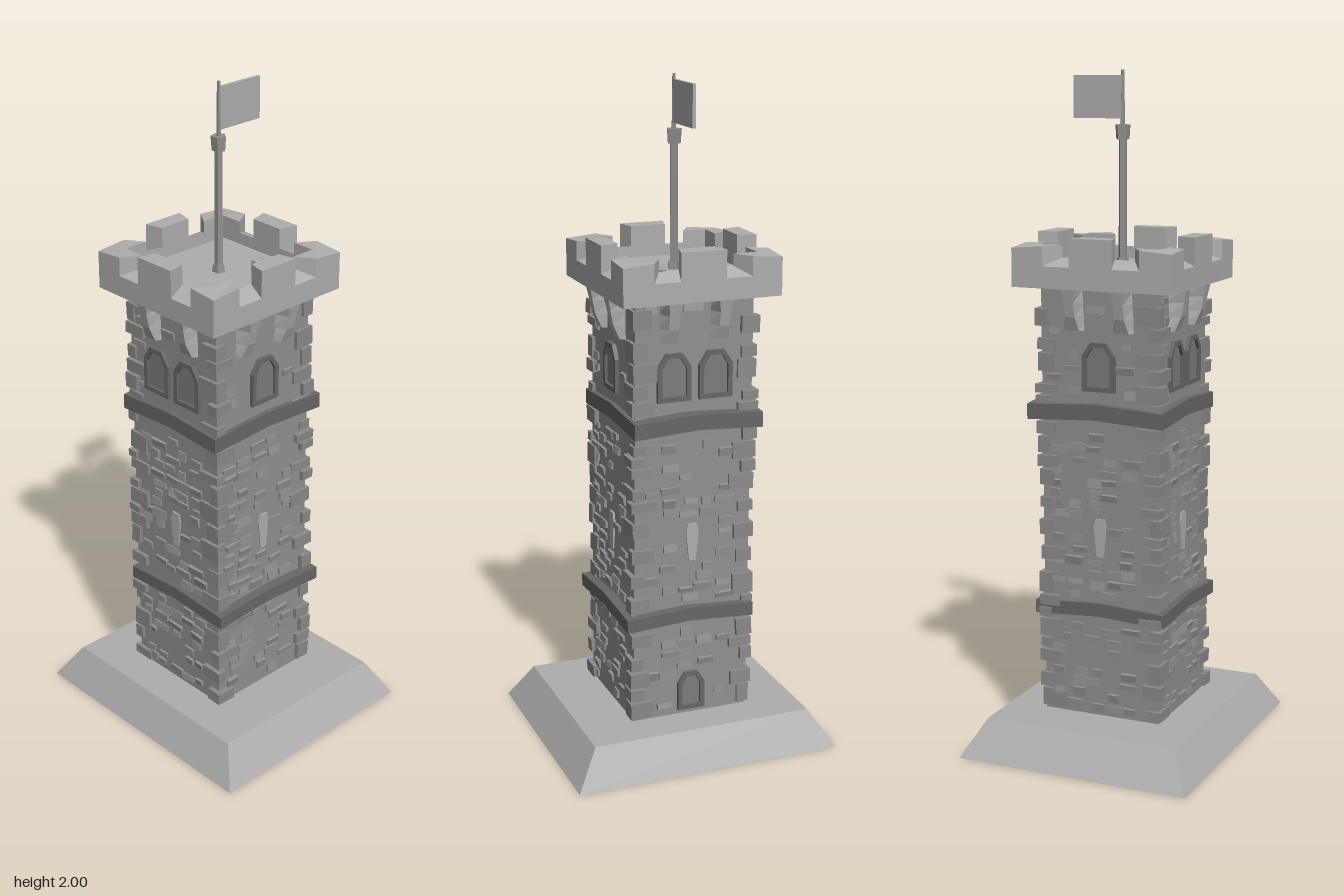
import * as THREE from 'three';
import { mergeGeometries } from 'three/addons/utils/BufferGeometryUtils.js';

const HX = 0.183, HZ = 0.181; // half width and half depth of the shaft
const shift = y => -0.002 - 0.013 * Math.min(1, y / 1.4); // slight backward lean
const grey = (color, side = THREE.FrontSide) => new THREE.MeshStandardMaterial({ color, flatShading: true, side });
const pale = grey(0xaeaeae), wall = grey(0x909090), quoin = grey(0x8a8a8a), dark = grey(0x676767);
const pane = grey(0x7c7c7c), cloth = grey(0xaeaeae, THREE.DoubleSide);

let seed = 11;
const rnd = (a, b) => {
  seed = (seed * 16807) % 2147483647;
  return a + (b - a) * seed / 2147483647;
};

function add(parent, name, geo, mat, x = 0, y = 0, z = 0) {
  const m = new THREE.Mesh(geo, mat);
  m.name = name;
  m.position.set(x, y, z);
  parent.add(m);
}

const box = (w, h, d, x = 0, y = 0, z = 0) => new THREE.BoxGeometry(w, h, d).translate(x, y, z);

// move every vertex by a rule
function warp(geo, rule) {
  const p = geo.attributes.position, v = new THREE.Vector3();
  for (let i = 0; i < p.count; i++) {
    rule(v.fromBufferAttribute(p, i));
    p.setXYZ(i, v.x, v.y, v.z);
  }
  geo.computeVertexNormals();
  return geo;
}

const poly = pts => new THREE.Shape(pts.map(p => new THREE.Vector2(...p)));
const extrude = (shape, depth) => new THREE.ExtrudeGeometry(shape, { depth, bevelEnabled: false });
// plan outline (x, -z) raised from y0 to y1
const raise = (shape, y0, y1) => extrude(shape, y1 - y0).rotateX(-Math.PI / 2).translate(0, y0, 0);

const archPts = (w, h, inset = 0) => {
  const a = w / 2 - inset, b = w * 0.24 - inset * 0.4;
  return [[-a, inset], [a, inset], [a, h * 0.72 - inset * 0.4], [b, h - inset], [-b, h - inset], [-a, h * 0.72 - inset * 0.4]];
};

// arched opening: raised surround and shallow inner panel
function archway(name, w, h) {
  const g = new THREE.Group();
  g.name = name;
  const frame = poly(archPts(w, h));
  frame.holes.push(poly(archPts(w, h, 0.014)));
  add(g, 'surround', extrude(frame, 0.018), dark, 0, 0, -0.006);
  add(g, 'panel', extrude(poly(archPts(w, h, 0.013)), 0.008), pane, 0, 0, -0.005);
  return g;
}

// corbel: narrow waisted front, splayed cheeks, leaning out to carry the parapet
function corbelGeometry() {
  return warp(new THREE.BoxGeometry(2, 0.125, 1, 1, 3, 1), v => {
    const t = v.y / 0.125 + 0.5;
    v.x *= v.z > 0 ? 0.014 + 0.03 * (t - 0.5) ** 2 : 0.038 - 0.01 * t;
    v.z = v.z > 0 ? (t < 0.1 ? 0.016 : 0.024 + 0.026 * t) : -0.012;
  });
}

function wallFace(i) {
  const side = i % 2 === 1, half = side ? HZ : HX;
  const face = new THREE.Group();
  face.name = ['frontWall', 'rightWall', 'backWall', 'leftWall'][i];
  face.rotation.y = i * Math.PI / 2;
  // position on the leaning wall surface, in the face's own axes
  const c = Math.round(Math.cos(face.rotation.y)), s = Math.round(Math.sin(face.rotation.y));
  const place = (x, y, out = 0) => [x - s * shift(y), y, (side ? HX : HZ) + c * shift(y) + out];

  // openings as [x, y, width, height]
  const holes = [];
  const open = (name, x, y, w, h) => {
    const arch = archway(name, w, h);
    arch.position.set(...place(x, y));
    face.add(arch);
    holes.push([x, y + h / 2, w, h]);
  };
  (side ? [-0.064, 0.064] : [0]).forEach(x => open('archedWindow', x, 1.093, 0.103, 0.142));
  if (i === 1) open('door', 0, 0.125, 0.085, 0.12);

  // arrow slit, wider at the top
  const slit = poly([[-0.011, 0], [0.011, 0], [0.02, 0.09], [0.014, 0.115], [-0.014, 0.115], [-0.02, 0.09]]);
  add(face, 'arrowSlit', extrude(slit, 0.012), pale, ...place(0, 0.6, -0.007));
  holes.push([0, 0.657, 0.04, 0.115]);

  // corbels under the parapet
  [-0.077, 0.077].forEach(x => {
    add(face, 'corbel', corbelGeometry(), pale, ...place(x, 1.33));
    holes.push([x, 1.33, 0.07, 0.125]);
  });

  // scattered raised stones, clear of bands and openings
  const bricks = [];
  for (let y = 0.14; y < 1.37; y += 0.034) {
    if (Math.abs(y - 0.43) < 0.035 || Math.abs(y - 1.03) < 0.04) continue;
    for (let x = -half + 0.05; x < half - 0.04; x += 0.056) {
      const w = rnd(0.028, 0.06), h = rnd(0.015, 0.027), bx = x + rnd(-0.01, 0.015), by = y + rnd(-0.006, 0.006);
      const blocked = holes.some(o => Math.abs(bx - o[0]) < (o[2] + w) / 2 && Math.abs(by - o[1]) < (o[3] + h) / 2);
      if (rnd(0, 1) < 0.45 || blocked) continue;
      bricks.push(box(w, h, 0.018).rotateX(rnd(-0.25, 0.25)).rotateY(rnd(-0.08, 0.08)).rotateZ(rnd(-0.04, 0.04))
        .translate(...place(bx, by, -0.002)));
    }
  }
  add(face, 'raisedStones', mergeGeometries(bricks), wall);
  return face;
}

export function createModel() {
  const tower = new THREE.Group();
  tower.name = 'watchtower';

  // sloped plinth
  add(tower, 'plinth', warp(box(0.72, 0.11, 0.82, 0, 0.055, 0), v => {
    if (v.y > 0.05) { v.x *= 0.3 / 0.36; v.z *= 0.34 / 0.41; }
  }), pale);

  // shaft and its four detailed walls
  add(tower, 'shaft', warp(box(2 * HX, 1.3, 2 * HZ, 0, 0.75, 0), v => { v.z += shift(v.y); }), wall);
  for (let i = 0; i < 4; i++) tower.add(wallFace(i));

  // irregular corner stones, alternating long and short
  const quoins = [];
  for (const sx of [-1, 1]) for (const sz of [-1, 1]) {
    let y = 0.115, k = sx * sz > 0 ? 0 : 1;
    while (y < 1.33) {
      const h = rnd(0.03, 0.07), c = y + h / 2;
      const long = rnd(0.055, 0.08), short = rnd(0.03, 0.05), proud = rnd(0.006, 0.016);
      const w = k % 2 ? long : short, d = k % 2 ? short : long;
      quoins.push(box(w, h - 0.008, d).rotateX(rnd(-0.04, 0.04)).rotateZ(rnd(-0.04, 0.04))
        .translate(sx * (HX + proud - w / 2), c, sz * (HZ + proud - d / 2) + shift(c)));
      y += h + (rnd(0, 1) < 0.35 ? 0.03 : 0);
      k++;
    }
  }
  add(tower, 'cornerStones', mergeGeometries(quoins), quoin);

  // string courses, slightly peaked at the middle of each side
  [[0.427, 0.04, 0.206, 0.2, 0.005, 0.004], [1.022, 0.046, 0.214, 0.198, -0.014, 0.01]].forEach(([y, h, hx, hz, z, x]) => {
    add(tower, 'stringCourse', warp(new THREE.BoxGeometry(2 * hx, h, 2 * hz, 2, 1, 2), v => {
      if (Math.abs(v.x) < 0.01 || Math.abs(v.z) < 0.01) v.y += 0.012;
    }), dark, x, y, z);
  });

  // parapet ring with sills sloping outwards, floor and merlons
  const parapet = new THREE.Group();
  parapet.name = 'parapet';
  parapet.position.z = -0.015;
  const OX = 0.247, OZ = 0.24, IX = 0.19, IZ = 0.185;
  const rect = (a, b) => [[-a, -b], [a, -b], [a, b], [-a, b]];
  const ring = poly(rect(OX, OZ));
  ring.holes.push(poly(rect(IX, IZ)));
  add(parapet, 'parapetRing', warp(raise(ring, 1.39, 1.475), v => {
    if (v.y > 1.4 && Math.abs(v.x) > 0.2) v.y -= 0.022;
  }), pale);
  add(parapet, 'roofFloor', box(2 * IX, 0.05, 2 * IZ, 0, 1.415, 0), pale);
  for (const s of [-1, 1]) {
    add(parapet, 'middleMerlon', raise(poly([[-0.066, s * OZ], [0.066, s * OZ], [0.052, s * IZ], [-0.052, s * IZ]]), 1.45, 1.535), pale);
    add(parapet, 'sideMerlon', raise(poly([[s * OX, -0.069], [s * OX, 0.069], [s * IX, 0.054], [s * IX, -0.054]]), 1.45, 1.535), pale);
    for (const t of [-1, 1]) {
      const pts = [[0.15, OZ], [OX, OZ], [OX, 0.148], [IX, 0.113], [IX, IZ], [0.113, IZ]];
      add(parapet, 'cornerMerlon', warp(raise(poly(pts.map(([x, z]) => [s * x, t * z])), 1.45, 1.51), v => {
        if (v.y > 1.5 && Math.abs(v.x) > 0.2 && Math.abs(v.z) > 0.2) v.y -= 0.008;
      }), pale);
    }
  }
  tower.add(parapet);

  // flagpole with foot, collar, spike and flag
  const pole = new THREE.Group();
  pole.name = 'flagpole';
  pole.position.set(0.004, 0, -0.02);
  const rod = (name, r0, r1, y0, y1) =>
    add(pole, name, new THREE.CylinderGeometry(r1, r0, y1 - y0, 5).rotateY(0.31), wall, 0, (y0 + y1) / 2, 0);
  rod('poleFoot', 0.02, 0.017, 1.44, 1.462);
  rod('pole', 0.013, 0.012, 1.44, 1.81);
  rod('collar', 0.02, 0.023, 1.803, 1.845);
  rod('spike', 0.007, 0.005, 1.84, 2);
  add(pole, 'flag', box(0.153, 0.122, 0.01), cloth, 0.077, 1.923, 0);
  tower.add(pole);

  // crate with a tilted lid and small barrels on the roof
  add(tower, 'crate', box(0.028, 0.035, 0.044), pale, 0.084, 1.457, 0.067);
  add(tower, 'crateLid', box(0.02, 0.006, 0.044).rotateZ(-0.9), wall, 0.104, 1.466, 0.067);
  add(tower, 'barrel', new THREE.CylinderGeometry(0.018, 0.022, 0.04, 5), pale, 0.09, 1.46, 0.145);
  add(tower, 'barrel', new THREE.CylinderGeometry(0.021, 0.021, 0.02, 5), pale, 0.137, 1.45, 0.115);
  return tower;
}
